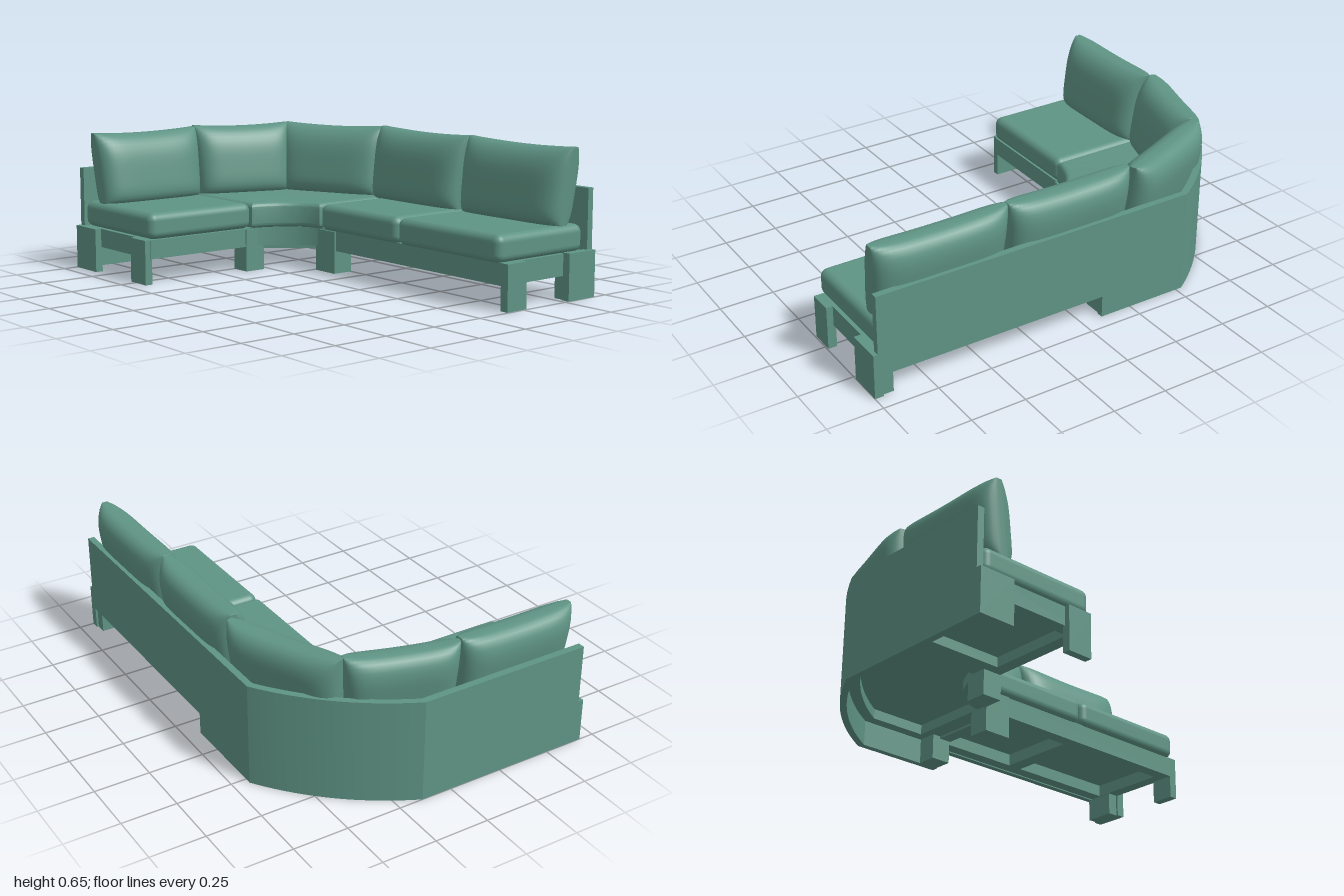
import * as THREE from 'three';
import { mergeVertices, toCreasedNormals } from 'three/addons/utils/BufferGeometryUtils.js';
import { RoundedBoxGeometry } from 'three/addons/geometries/RoundedBoxGeometry.js';

const fabric = new THREE.MeshStandardMaterial({ color: 0x5f9484 });
fabric.name = 'sageGreen';

// Plan outline from [x, z] points; a four-number entry is [controlX, controlZ, x, z]
function plan(points, Type = THREE.Shape) {
  const s = new Type();
  points.forEach((p, i) => {
    if (i === 0) s.moveTo(...p);
    else if (p.length === 4) s.quadraticCurveTo(...p);
    else s.lineTo(...p);
  });
  s.closePath();
  return s;
}

const rect = (x0, x1, z0, z1) => [[x0, z0], [x1, z0], [x1, z1], [x0, z1]];

// Raises a plan outline from y0 to y1, with optional holes and rounded edges
function slab(points, y0, y1, holes = [], round = 0) {
  const shape = plan(points);
  shape.holes = holes.map((h) => plan(h, THREE.Path));
  const geo = new THREE.ExtrudeGeometry(shape, {
    depth: y1 - y0 - 2 * round, curveSegments: 24,
    bevelEnabled: round > 0, bevelThickness: round, bevelSize: round,
    bevelOffset: -round, bevelSegments: 12,
  });
  geo.rotateX(Math.PI / 2).translate(0, y1 - round, 0);
  return toCreasedNormals(geo, 0.3);
}

// Box given by its limits
function block(x0, x1, y0, y1, z0, z1, round = 0) {
  const size = [x1 - x0, y1 - y0, z1 - z0];
  const geo = round ? new RoundedBoxGeometry(...size, 5, round) : new THREE.BoxGeometry(...size);
  return geo.translate((x0 + x1) / 2, (y0 + y1) / 2, (z0 + z1) / 2);
}

// Plump leaning pillow that thins towards its rim
function pillow(length, height, thickness) {
  const geo = new THREE.BoxGeometry(2, 2, 2, 28, 20, 4);
  const pos = geo.attributes.position;
  for (let i = 0; i < pos.count; i++) {
    const u = Math.sin(pos.getX(i) * Math.PI / 2);
    const v = Math.sin(pos.getY(i) * Math.PI / 2);
    const full = Math.sqrt(Math.max(0, (1 - u ** 6) * (1 - Math.abs(v) ** (v < 0 ? 6 : 3))));
    const sag = v > 0 ? 0.01 * v * (u * u - 0.7) : 0;
    pos.setXYZ(i,
      u * length / 2 * (0.97 + 0.03 * v),
      (v + 1) * height / 2 + sag,
      pos.getZ(i) * thickness / 2 * (0.14 + 0.86 * full) - 0.025 * v);
  }
  geo.deleteAttribute('normal');
  geo.deleteAttribute('uv');
  const smooth = mergeVertices(geo, 1e-5);
  smooth.computeVertexNormals();
  return smooth;
}

export function createModel() {
  const model = new THREE.Group();
  model.name = 'cornerSofa';
  const add = (name, geo) => {
    const mesh = new THREE.Mesh(geo, fabric);
    mesh.name = name;
    model.add(mesh);
    return mesh;
  };

  // Back panel: long straight run, then the curve and the short wing down to the floor
  add('longBackPanel', block(-0.1, 0.98, 0.1, 0.47, -0.68, -0.65));
  add('curvedBackPanel', slab([
    [-0.1, -0.68], [-0.53, -0.68], [-0.84, -0.476, -1, -0.14], [-1, 0.655],
    [-0.968, 0.655], [-0.968, -0.14], [-0.815, -0.455, -0.52, -0.65], [-0.1, -0.65],
  ], 0, 0.47));

  // Base frames, open underneath, closed by decks
  add('longFrame', slab(rect(-0.16, 0.965, -0.65, -0.16), 0.105, 0.2, [
    rect(-0.1, 0.295, -0.59, -0.22), rect(0.365, 0.905, -0.59, -0.22),
  ]));
  add('wingFrame', slab(rect(-0.968, -0.41, 0.12, 0.65), 0.115, 0.2, [
    rect(-0.9, -0.47, 0.18, 0.59),
  ]));
  const cornerOutline = [
    [-0.16, -0.65], [-0.16, -0.16], [-0.2, -0.16], [-0.37, -0.1, -0.42, 0.12],
    [-0.968, 0.12], [-0.968, -0.14], [-0.815, -0.455, -0.52, -0.65],
  ];
  add('cornerFrame', slab(cornerOutline, 0.115, 0.2, [[
    [-0.24, -0.6], [-0.24, -0.21], [-0.43, -0.18, -0.48, 0.06],
    [-0.91, 0.06], [-0.91, -0.14], [-0.77, -0.42, -0.51, -0.6],
  ]]));
  add('longDeck', block(-0.15, 0.95, 0.16, 0.198, -0.64, -0.17));
  add('wingDeck', block(-0.95, -0.42, 0.16, 0.198, 0.13, 0.64));
  add('cornerDeck', slab(cornerOutline, 0.16, 0.199));

  // Legs: thin plates lapping up the frame ends, and blocks under the joints
  add('longEndFrontPlate', block(0.955, 0.995, 0, 0.2, -0.27, -0.16));
  add('longEndBackFoot', block(0.91, 0.985, 0, 0.11, -0.67, -0.53));
  add('longEndBackPlate', block(0.96, 1, 0, 0.205, -0.68, -0.52));
  add('wingEndInnerPlate', block(-0.535, -0.415, 0, 0.2, 0.64, 0.675));
  add('wingEndOuterPlate', block(-1, -0.83, 0, 0.2, 0.645, 0.68));
  add('innerLegLong', block(-0.24, -0.105, 0, 0.195, -0.25, -0.15));
  add('innerLegWing', block(-0.5, -0.405, 0, 0.195, 0.03, 0.13));
  add('backLeg', block(-0.2, -0.105, 0, 0.19, -0.65, -0.56));

  // Seat cushions
  add('seatLongInner', block(-0.2, 0.332, 0.195, 0.315, -0.65, -0.138, 0.035));
  add('seatLongOuter', block(0.334, 0.96, 0.195, 0.315, -0.65, -0.138, 0.035));
  add('seatWing', block(-0.965, -0.4, 0.2, 0.318, 0.1, 0.655, 0.035));
  add('seatCorner', slab([
    [-0.2, -0.645], [-0.2, -0.14], [-0.36, -0.1, -0.4, 0.1],
    [-0.962, 0.1], [-0.962, -0.14], [-0.81, -0.45, -0.52, -0.645],
  ], 0.197, 0.316, [], 0.025));

  // Back cushions: centre x, centre z, length, height, facing direction x, z
  const cushions = [
    ['backCushionLongOuter', 0.645, -0.568, 0.625, 0.338, 0, 1],
    ['backCushionLongInner', 0.03, -0.568, 0.6, 0.338, 0, 1],
    ['backCushionCornerLong', -0.525, -0.487, 0.55, 0.333, 0.4, 0.92],
    ['backCushionCornerWing', -0.82, -0.148, 0.485, 0.333, 0.96, 0.28],
    ['backCushionWing', -0.865, 0.37, 0.56, 0.33, 1, 0],
  ];
  for (const [name, x, z, length, height, nx, nz] of cushions) {
    const cushion = add(name, pillow(length, height, 0.188));
    cushion.position.set(x, 0.305, z);
    cushion.rotation.y = Math.atan2(nx, nz);
  }
  return model;
}
